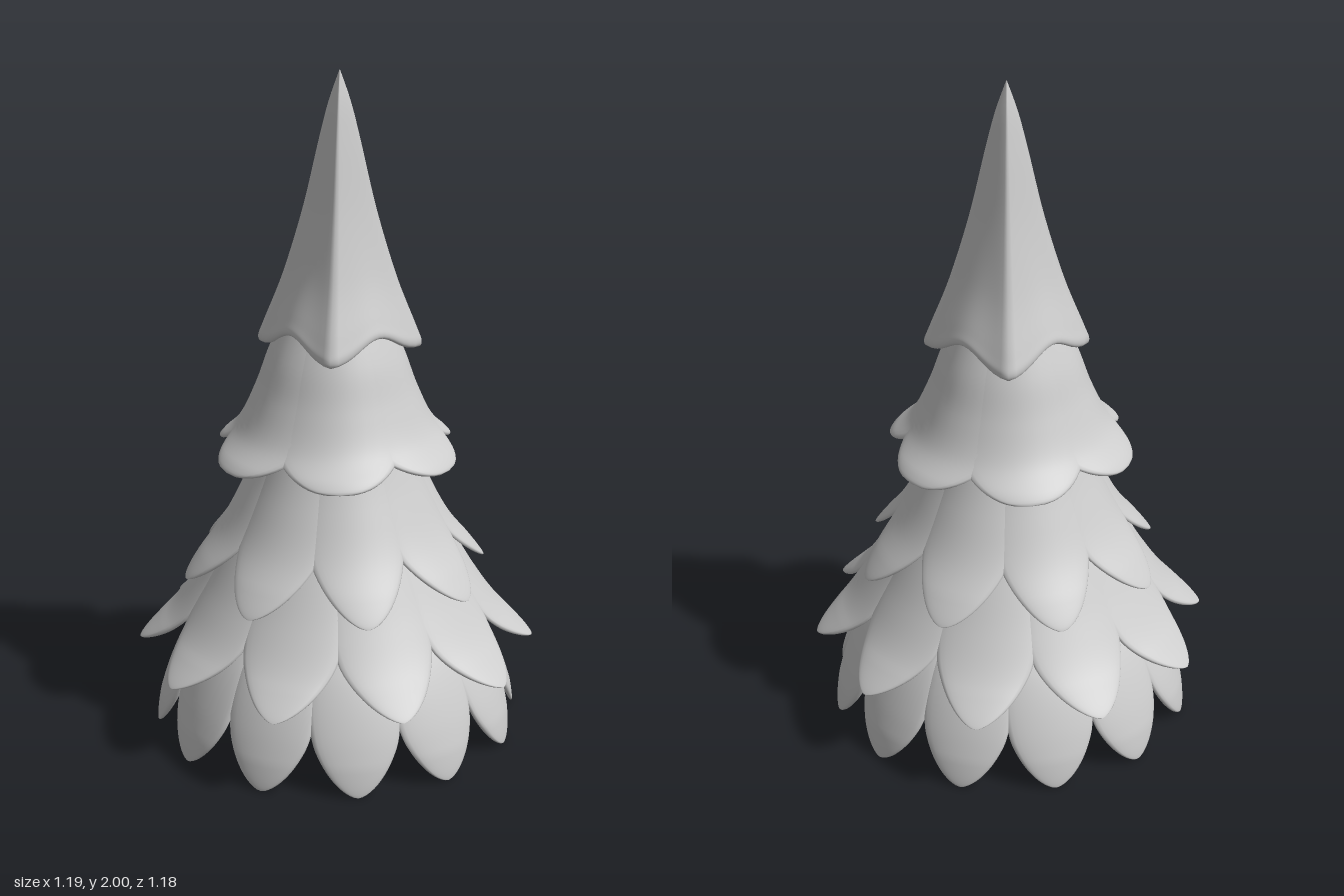
import * as THREE from 'three';

const material = new THREE.MeshStandardMaterial({ color: 0xcccccc, side: THREE.DoubleSide });

// Smooth surface from closed rings of points; point(i, j) gives a Vector3
function loft(rows, cols, point) {
  const pos = [], index = [];
  for (let i = 0; i <= rows; i++)
    for (let j = 0; j < cols; j++) pos.push(...point(i / rows, (j / cols) * Math.PI * 2).toArray());
  for (let i = 0; i < rows; i++)
    for (let j = 0; j < cols; j++) {
      const k = (j + 1) % cols;
      const a = i * cols + j, b = i * cols + k, c = a + cols, d = b + cols;
      index.push(a, b, c, b, d, c);
    }
  const geo = new THREE.BufferGeometry();
  geo.setAttribute('position', new THREE.Float32BufferAttribute(pos, 3));
  geo.setIndex(index);
  geo.computeVertexNormals();
  return geo;
}

const curve = (pts) => new THREE.SplineCurve(pts.map(([r, y]) => new THREE.Vector2(r, y)));

// One leaf pointing along +x: lens section swept down the profile, narrowing to a tip
function leafGeometry({ profile, half, top, round, blunt, thick }) {
  const path = curve(profile);
  return loft(28, 28, (t, a) => {
    const v = 1 - Math.pow(1 - t, 1.5); // denser rings near the tip
    const p = path.getPointAt(v), tan = path.getTangentAt(v);
    const s = Math.max(0, (v - round) / (1 - round));
    const taper = Math.pow(Math.max(0, 1 - s * s), blunt);
    const body = THREE.MathUtils.lerp(top, 1, Math.min(1, v / 0.7));
    const x = Math.cos(a) * half * body * taper;
    const sn = Math.sin(a);
    const depth = Math.sign(sn) * Math.pow(Math.abs(sn), 0.6) * thick * Math.min(1, taper * 1.5);
    const drop = (x * x) / (2 * p.x) * 1.15;
    // outward normal of the profile is (-tan.y, tan.x)
    return new THREE.Vector3(p.x - tan.y * (depth - thick) - drop, p.y + tan.x * (depth - thick), -x);
  });
}

const tiers = [
  { name: 'upperLeaves', count: 6, turn: 22, half: 0.19, top: 0.62, round: 0.62, blunt: 0.42, thick: 0.012,
    profile: [[0.16, 1.27], [0.205, 1.17], [0.245, 1.06], [0.3, 0.95], [0.38, 0.875]] },
  { name: 'middleLeaves', count: 8, turn: 27, half: 0.15, top: 0.6, round: 0.5, blunt: 0.62, thick: 0.012,
    profile: [[0.18, 1.02], [0.225, 0.9], [0.28, 0.77], [0.355, 0.63], [0.47, 0.495]] },
  { name: 'lowerLeaves', count: 10, turn: -7, half: 0.162, top: 0.68, round: 0.45, blunt: 0.68, thick: 0.013,
    profile: [[0.29, 0.71], [0.355, 0.59], [0.43, 0.46], [0.51, 0.35], [0.61, 0.265]] },
  { name: 'bottomLeaves', count: 12, turn: 17, half: 0.145, top: 0.75, round: 0.4, blunt: 0.62, thick: 0.015,
    profile: [[0.365, 0.43], [0.45, 0.31], [0.515, 0.17], [0.565, 0.005]] },
];

// Four-cornered pointed cap with a wavy, rounded rim and a hollow underside
function capGeometry() {
  const path = curve([[0.13, 1.27], [0.19, 1.225], [0.228, 1.205], [0.24, 1.222], [0.222, 1.27],
    [0.165, 1.41], [0.107, 1.6], [0.06, 1.8], [0.032, 1.91], [0.001, 2]]);
  const power = 1.12;
  return loft(60, 64, (t, a) => {
    const p = path.getPoint(t);
    const c = Math.cos(a), s = Math.sin(a);
    const square = 1 / Math.pow(Math.abs(c) ** power + Math.abs(s) ** power, 1 / power);
    const fade = Math.max(0, 1 - Math.max(0, p.y - 1.2) / 0.4) ** 2;
    const y = p.y + fade * (0.02 - 0.03 * Math.cos(4 * a));
    return new THREE.Vector3(p.x * square * c, y, -p.x * square * s);
  });
}

export function createModel() {
  const tree = new THREE.Group();
  tree.name = 'tree';

  const cap = new THREE.Mesh(capGeometry(), material);
  cap.name = 'treeTop';
  cap.position.x = 0.01;
  tree.add(cap);

  // Rings of overlapping leaves
  for (const tier of tiers) {
    const ring = new THREE.Group();
    ring.name = tier.name;
    const geo = leafGeometry(tier);
    for (let i = 0; i < tier.count; i++) {
      const leaf = new THREE.Mesh(geo, material);
      leaf.name = 'leaf';
      leaf.rotation.y = -THREE.MathUtils.degToRad(tier.turn + (i * 360) / tier.count);
      ring.add(leaf);
    }
    tree.add(ring);
  }
  return tree;
}
